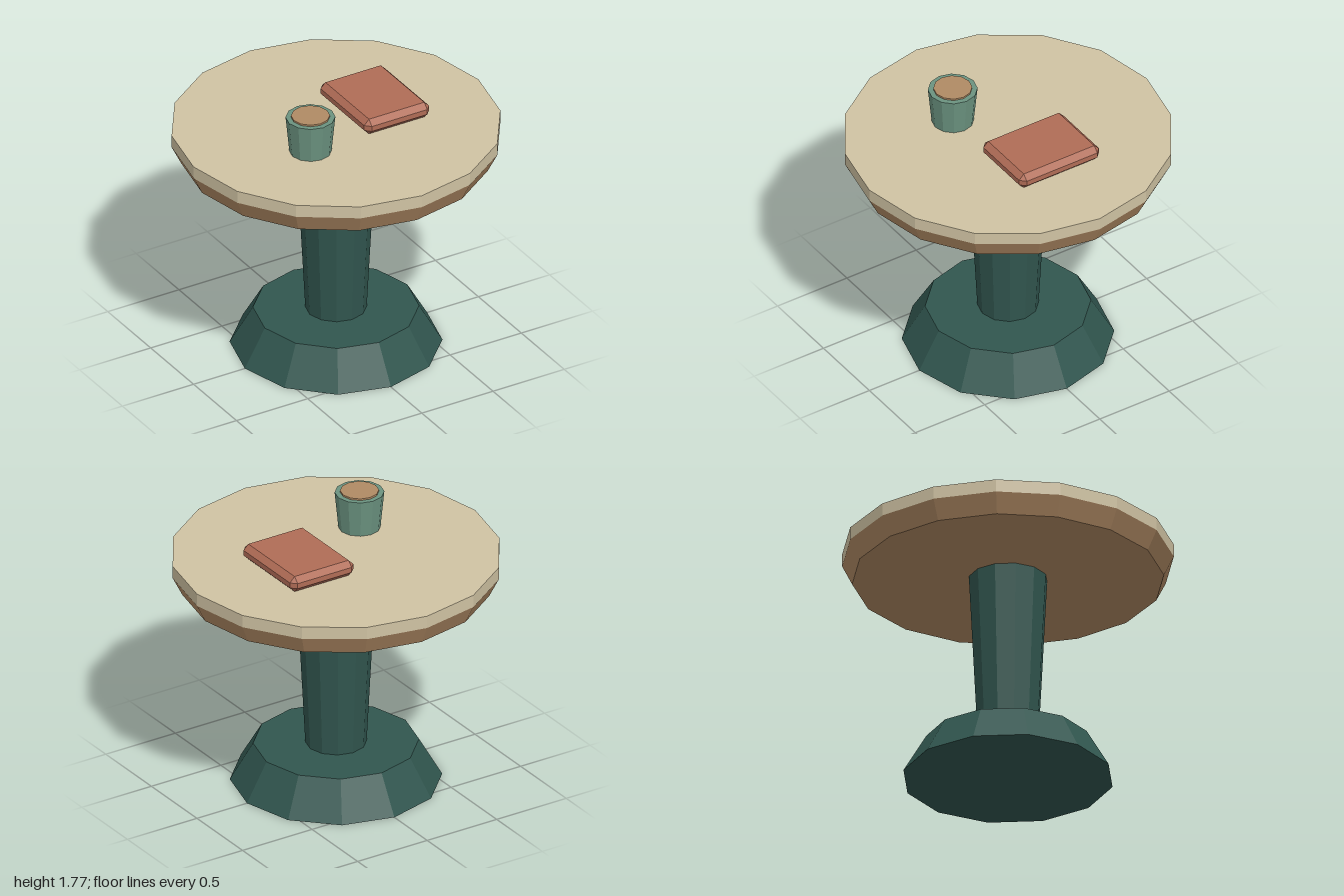
import * as THREE from 'three';
import { ConvexGeometry } from 'three/addons/geometries/ConvexGeometry.js';

const mat = (name, color) => {
  const m = new THREE.MeshStandardMaterial({ color, flatShading: true });
  m.name = name;
  return m;
};

export function createModel() {
  const group = new THREE.Group();
  const darkGreen = mat('dark green', 0x31564f);
  const tan = mat('pale tan', 0xd0c3a3);
  const brown = mat('wood brown', 0xb08a64);
  const sage = mat('sage green', 0x6b9380);
  const brick = mat('brick red', 0xb06c56);

  const add = (name, geometry, material) => {
    const mesh = new THREE.Mesh(geometry, material);
    mesh.name = name;
    group.add(mesh);
    return mesh;
  };

  // Faceted frustum standing between two heights
  const frustum = (name, rTop, rBottom, y0, y1, sides, material, x = 0, z = 0) => {
    const mesh = add(name, new THREE.CylinderGeometry(rTop, rBottom, y1 - y0, sides), material);
    mesh.position.set(x, (y0 + y1) / 2, z);
  };

  // Pedestal
  frustum('base', 0.5, 0.64, 0, 0.24, 12, darkGreen);
  frustum('column', 0.24, 0.185, 0.24, 1.32, 12, darkGreen);

  // Table top: bevelled underside and flat slab
  frustum('topUnderside', 1, 0.94, 1.32, 1.44, 16, brown);
  frustum('tableTop', 1, 1, 1.44, 1.52, 16, tan);

  // Cup and its drink
  frustum('cup', 0.15, 0.127, 1.52, 1.757, 12, sage, -0.3, 0.2);
  frustum('drink', 0.117, 0.117, 1.75, 1.768, 12, brown, -0.3, 0.2);

  // Book: box with every edge chamfered
  const half = [0.228, 0.051, 0.288], c = 0.034;
  const points = [];
  for (const sx of [-1, 1]) for (const sy of [-1, 1]) for (const sz of [-1, 1]) {
    for (let axis = 0; axis < 3; axis++) {
      const p = half.map((h, i) => (i === axis ? h : h - c));
      points.push(new THREE.Vector3(p[0] * sx, p[1] * sy, p[2] * sz));
    }
  }
  const book = add('book', new ConvexGeometry(points), brick);
  book.position.set(0.298, 1.572, -0.042);

  return group;
}
